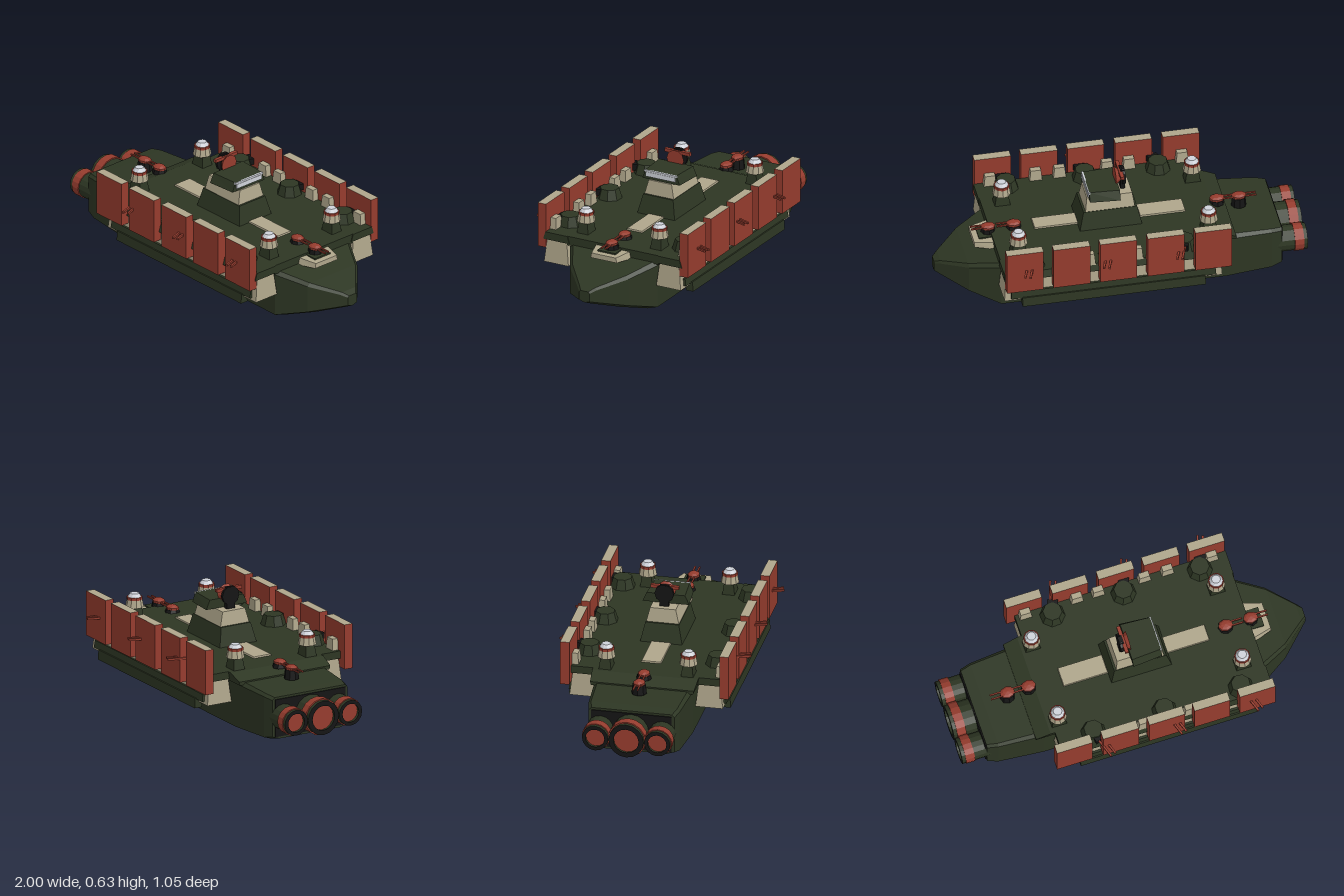
import * as THREE from 'three';

const mat = (name, color) => Object.assign(new THREE.MeshStandardMaterial({ color }), { name });

export function createModel() {
  const root = new THREE.Group();
  root.name = 'armouredShip';
  const green = mat('dark green', 0x2d3623);
  const beige = mat('beige', 0xafa68b);
  const red = mat('brick red', 0x963c2e);
  const black = mat('black', 0x141414);
  const white = mat('pale grey', 0xd0d3da);

  // Faceted normals for any geometry
  const flat = (geo) => {
    const g = geo.index ? geo.toNonIndexed() : geo;
    g.computeVertexNormals();
    return g;
  };
  const add = (name, geo, material, x = 0, y = 0, z = 0, parent = root) => {
    const m = new THREE.Mesh(geo, material);
    m.name = name;
    m.position.set(x, y, z);
    parent.add(m);
    return m;
  };
  const group = (name, x, y, z) => {
    const g = new THREE.Group();
    g.name = name;
    g.position.set(x, y, z);
    root.add(g);
    return g;
  };
  // Box standing on y = 0 whose top face is scaled by sx, sz
  const block = (w, h, d, sx = 1, sz = sx) => {
    const g = new THREE.BoxGeometry(w, h, d).translate(0, h / 2, 0);
    const p = g.attributes.position;
    for (let i = 0; i < p.count; i++) {
      if (p.getY(i) > h / 2) p.setXYZ(i, p.getX(i) * sx, h, p.getZ(i) * sz);
    }
    return flat(g);
  };
  // Faceted drum standing on y = 0
  const drum = (rBottom, rTop, h, n = 10) =>
    flat(new THREE.CylinderGeometry(rTop, rBottom, h, n).translate(0, h / 2, 0));
  // Skin over cross-sections [x, points [y, z] going round from bottom +z to bottom -z]
  const loft = (sections) => {
    const n = sections[0][1].length;
    const pos = sections.flatMap(([x, ring]) => ring.flatMap(([y, z]) => [x, y, z]));
    const idx = [];
    const last = (sections.length - 1) * n;
    for (let s = 0; s < last; s += n) {
      for (let j = 0; j < n; j++) {
        const k = (j + 1) % n;
        idx.push(s + j, s + k, s + n + k, s + j, s + n + k, s + n + j);
      }
    }
    for (let j = 1; j < n - 1; j++) idx.push(0, j + 1, j, last, last + j, last + j + 1);
    const g = new THREE.BufferGeometry();
    g.setAttribute('position', new THREE.Float32BufferAttribute(pos, 3));
    g.setIndex(idx);
    return flat(g);
  };

  // Hull: x, half width, bottom, top, chamfer
  const hullSection = ([x, w, b, t, c]) => [x, [
    [b, w - 3 * c], [b, -w + 3 * c], [b + c, -w], [t - c, -w],
    [t, -w + c], [t, w - c], [t - c, w], [b + c, w],
  ]];
  add('hull', loft([
    [-0.86, 0.235, 0.03, 0.265, 0.015],
    [-0.8, 0.25, 0.015, 0.272, 0.015],
    [-0.55, 0.27, 0.002, 0.285, 0.02],
    [0.68, 0.27, 0, 0.28, 0.02],
    [0.84, 0.18, 0.05, 0.236, 0.017],
    [0.97, 0.06, 0.095, 0.19, 0.012],
    [1, 0.032, 0.108, 0.172, 0.009],
  ].map(hullSection)), green);
  add('sternPlate', new THREE.BoxGeometry(0.008, 0.21, 0.44), black, -0.862, 0.148, 0);

  // Engines
  [[-0.17, 0.073], [0, 0.098], [0.17, 0.073]].forEach(([z, r]) => {
    const e = group('engine', -0.86, 0.152, z);
    const profile = [[0.98, -0.05], [0.98, 0.14], [0.76, 0.14], [0.7, 0.09]]
      .map(([k, y]) => new THREE.Vector2(r * k, y));
    const shell = add('engineShell', flat(new THREE.LatheGeometry(profile, 16)), green, 0, 0, 0, e);
    const band = add('engineBand', flat(new THREE.CylinderGeometry(r * 1.05, r * 1.05, 0.05, 16)), red, 0, 0.095, 0, e);
    const rim = add('engineRim', new THREE.RingGeometry(r * 0.7, r * 0.98, 16).rotateX(-Math.PI / 2), black, 0, 0.1405, 0, e);
    const core = add('engineCore', new THREE.CircleGeometry(r * 0.76, 16).rotateX(-Math.PI / 2), white, 0, 0.11, 0, e);
    [shell, band, rim, core].forEach((m) => { m.castShadow = false; });
    e.rotation.z = Math.PI / 2;
  });

  // Main deck, with a sloped step at the stern
  add('mainDeck', loft([
    [-0.6, [[0.27, 0.28], [0.27, -0.28], [0.29, -0.285], [0.29, 0.285]]],
    [-0.52, [[0.27, 0.28], [0.27, -0.28], [0.322, -0.29], [0.322, 0.29]]],
    [0.69, [[0.27, 0.28], [0.27, -0.28], [0.322, -0.29], [0.322, 0.29]]],
  ]), green);
  [[-0.245, 0.25, 0.11], [0.335, 0.24, 0.095]].forEach(([x, w, d]) =>
    add('deckHatch', block(w, 0.008, d, 0.98, 0.95), beige, x, 0.322, 0));
  add('bowHatch', loft([
    [0.68, [[0.27, 0.115], [0.27, -0.115], [0.31, -0.105], [0.31, 0.105]]],
    [0.79, [[0.275, 0.08], [0.275, -0.08], [0.303, -0.075], [0.303, 0.075]]],
  ]), beige);
  add('bowHatchCover', new THREE.BoxGeometry(0.07, 0.008, 0.11), green, 0.725, 0.31, 0);

  // Bridge tower
  add('towerBase', block(0.34, 0.105, 0.23, 0.86, 0.8), green, 0.05, 0.322, 0);
  add('bridge', block(0.27, 0.08, 0.18, 0.92, 0.78), beige, 0.05, 0.425, 0);
  add('bridgeRoof', loft([
    [0, [[0.505, 0.128], [0.505, -0.128], [0.557, -0.105], [0.557, 0.105]]],
    [0.165, [[0.505, 0.115], [0.505, -0.115], [0.557, -0.095], [0.557, 0.095]]],
  ]), green);
  add('bridgeWindow', new THREE.BoxGeometry(0.008, 0.026, 0.18), white, 0.168, 0.534, 0);
  add('roofRail', new THREE.BoxGeometry(0.01, 0.01, 0.2), white, 0.165, 0.552, 0);

  // Radar dish facing the bow
  add('radarPost', block(0.025, 0.12, 0.05), black, -0.032, 0.505, 0);
  add('radarBack', flat(new THREE.CylinderGeometry(0.053, 0.053, 0.016, 10).rotateZ(Math.PI / 2)), black, -0.036, 0.578, 0);
  add('radarDish', flat(new THREE.CylinderGeometry(0.053, 0.025, 0.035, 10).rotateZ(-Math.PI / 2)), red, -0.008, 0.578, 0);
  add('radarBar', new THREE.BoxGeometry(0.02, 0.018, 0.156), red, -0.02, 0.611, 0);

  // Small twin guns along the centre line: x, base height, muzzle direction
  [[-0.67, 0.285, -1], [-0.55, 0.315, -1], [0.56, 0.322, 1], [0.7, 0.305, 1]].forEach(([x, y, dir]) => {
    const g = group('centreGun', x, 0, 0);
    add('gunBase', drum(0.042, 0.036, 0.338 - y, 8), black, 0, y, 0, g);
    add('gunHouse', flat(new THREE.SphereGeometry(1, 8, 5).scale(0.042, 0.018, 0.034)), red, 0, 0.344, 0, g);
    [-0.012, 0.012].forEach((z) =>
      add('gunBarrel', new THREE.BoxGeometry(0.09, 0.008, 0.008), red, dir * 0.05, 0.345, z, g));
  });

  // Corner beacons
  [-0.46, 0.58].forEach((x) => [-0.225, 0.225].forEach((z) => {
    const g = group('cornerBeacon', x, 0.322, z);
    add('beaconFoot', block(0.085, 0.065, 0.068, 0.75), green, 0, 0, 0, g);
    add('beaconBody', drum(0.05, 0.042, 0.042), beige, 0, 0.062, 0, g);
    add('beaconRing', drum(0.043, 0.043, 0.015), red, 0, 0.103, 0, g);
    add('beaconLamp', drum(0.037, 0.024, 0.019), white, 0, 0.118, 0, g);
  }));

  const shieldMats = [red, red, beige, red, red, red];
  [1, -1].forEach((side) => {
    // Sponson and its roof
    add('sponson', block(1.19, 0.13, 0.15, 0.985, 0.8), beige, 0.1, 0.15, side * 0.345);
    add('sponsonRoof', block(1.19, 0.042, 0.16, 1, 0.84), green, 0.1, 0.28, side * 0.345);
    add('sideRail', block(1.12, 0.04, 0.04, 0.995, 0.7), green, 0.1, 0.165, side * 0.412);
    add('sideTube', block(1, 0.055, 0.045, 1, 0.85), green, 0.1, 0.115, side * 0.42);

    // Shield plates
    [-0.44, -0.18, 0.08, 0.335, 0.59].forEach((x) =>
      add('shield', new THREE.BoxGeometry(0.2, 0.25, 0.05), shieldMats, x, 0.355, side * 0.436));
    [-0.44, -0.15, -0.03, 0.23, 0.36, 0.61].forEach((x) =>
      add('shieldBracket', block(0.07, 0.07, 0.04, 0.8), beige, x, 0.315, side * 0.395));

    // Side turrets with twin barrels turned toward the bow
    [-0.3, 0.1, 0.53].forEach((x) => {
      const g = group('sideTurret', x, 0.32, side * 0.352);
      add('turretHouse', drum(0.07, 0.052, 0.058, 8), green, 0, 0, 0, g);
      add('turretSlot', new THREE.BoxGeometry(0.06, 0.035, 0.05), black, 0, 0.035, side * 0.045, g);
      [-0.014, 0.014].forEach((dx) =>
        add('turretBarrel', new THREE.BoxGeometry(0.011, 0.011, 0.12), red, dx, 0.044, side * 0.118, g));
      g.rotation.y = side * 0.33;
    });
  });
  return root;
}
